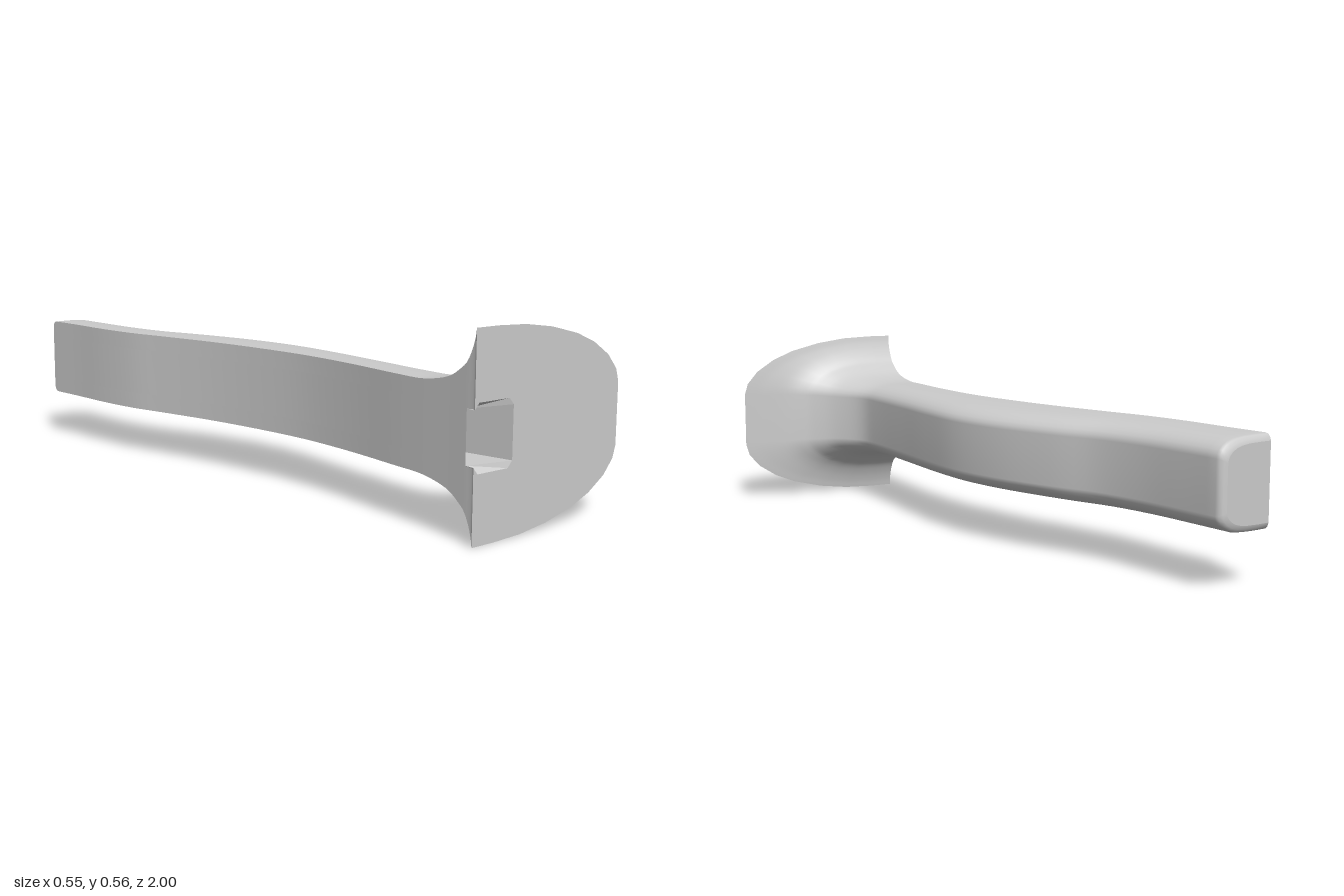
import * as THREE from 'three';

const MID = 0.279; // height of the mirror plane
const NOTCH = 0.073; // half height of the slot floor

// Half outlines (u across, v up): rounded bar and flared D-shaped plate
const BAR = [[0, 1], [0.25, 1], [0.5, 0.99], [0.68, 0.96], [0.8, 0.91], [0.89, 0.84], [0.95, 0.76], [0.985, 0.68], [1, 0.58], [1, 0]];
const PLATE = [[0, 1], [0.14, 1], [0.32, 0.985], [0.5, 0.935], [0.68, 0.845], [0.807, 0.74], [0.915, 0.6], [0.98, 0.45], [1, 0.32], [1, 0]];

// Stations along the handle: z, flat side x, rounded side x, half height, flare
const STATIONS = [
  [-0.98, -0.067, 0.108, 0.125, 0], [-0.85, -0.08, 0.093, 0.125, 0],
  [-0.7, -0.098, 0.08, 0.125, 0], [-0.55, -0.105, 0.084, 0.125, 0],
  [-0.4, -0.095, 0.113, 0.125, 0], [-0.2, -0.085, 0.135, 0.125, 0],
  [0, -0.088, 0.127, 0.125, 0], [0.2, -0.105, 0.082, 0.125, 0],
  [0.4, -0.145, 0.027, 0.125, 0], [0.6, -0.2, -0.024, 0.125, 0],
  [0.71, -0.228, -0.038, 0.127, 0], [0.8, -0.25, 0, 0.145, 0.25],
  [0.85, -0.2625, 0.05, 0.175, 0.5], [0.87, -0.2675, 0.09, 0.195, 0.65],
  [0.885, -0.271, 0.14, 0.225, 0.8], [0.895, -0.274, 0.215, 0.255, 0.95],
  [0.9, -0.277, 0.277, 0.279, 1],
];
// Small fillet at the far end
const END = [[-1, -0.065, 0.088, 0.106, 0], [-0.997, -0.065, 0.099, 0.116, 0], [-0.99, -0.066, 0.106, 0.123, 0]];

function smoothStations() {
  const a = new THREE.CatmullRomCurve3(STATIONS.map(s => new THREE.Vector3(s[0], s[1], s[2])), false, 'catmullrom');
  const b = new THREE.CatmullRomCurve3(STATIONS.map(s => new THREE.Vector3(s[3], s[4], 0)), false, 'catmullrom');
  const n = (STATIONS.length - 1) * 4;
  const out = [...END];
  for (let i = 0; i <= n; i++) {
    const p = a.getPoint(i / n), q = b.getPoint(i / n);
    out.push([p.x, p.y, p.z, q.x, q.y]);
  }
  return out;
}

// Each cross-section leans a little, more so near the plate
const lean = z => THREE.MathUtils.lerp(0.085, 0.181, (z + 1) / 1.9);

function section([z, xl, xr, h, w]) {
  const half = BAR.map(([u, v], i) => {
    const U = THREE.MathUtils.lerp(u, PLATE[i][0], w) * (xr - xl);
    return [xl + U, h * THREE.MathUtils.lerp(v, PLATE[i][1], w), z + lean(z) * U];
  });
  const lower = half.slice(0, -1).reverse().map(([x, y, d]) => [x, -y, d]);
  return [...half, ...lower].map(([x, y, d]) => new THREE.Vector3(x, y + MID, d));
}

// Surface through rows of points
function grid(rows) {
  const n = rows[0].length, index = [];
  for (let i = 0; i < rows.length - 1; i++) {
    for (let j = 0; j < n - 1; j++) {
      const a = i * n + j, b = a + 1, c = a + n, d = c + 1;
      index.push(a, c, b, b, c, d);
    }
  }
  const g = new THREE.BufferGeometry().setFromPoints(rows.flat());
  g.setIndex(index);
  g.computeVertexNormals();
  return g;
}

export function createModel() {
  const group = new THREE.Group();
  const material = new THREE.MeshStandardMaterial({ color: 0xcccccc, side: THREE.DoubleSide });
  const add = (name, geometry) => {
    const mesh = new THREE.Mesh(geometry, material);
    mesh.name = name;
    group.add(mesh);
  };

  const stations = smoothStations();
  const rings = stations.map(section);
  add('gripShell', grid(rings));

  // Flat side, with its middle strip stopping short at the slot
  const strip = (list, low, high) => grid(list.map(([z, xl, , h]) =>
    [low(h), high(h)].map(y => new THREE.Vector3(xl, y + MID, z))));
  add('flatSideTop', strip(stations, () => NOTCH, h => h));
  add('flatSideBottom', strip(stations, h => -h, () => -NOTCH));
  add('flatSideMiddle', strip(stations.filter(s => s[0] < 0.8701), () => -NOTCH, () => NOTCH));

  // Far end cap
  add('endCap', grid([rings[0].map(p => new THREE.Vector3(stations[0][1], p.y, stations[0][0])), rings[0]]));

  // Front plate with the slot opening cut from its straight edge
  const frontZ = x => 0.9 + 0.181 * (x + 0.277);
  const slotTop = [[-0.277, NOTCH], [-0.262, 0.091], [-0.153, 0.091], [-0.137, NOTCH]];
  const slot = [...slotTop.map(([x, y]) => [x, -y]), ...[...slotTop].reverse()];
  const outline = rings[rings.length - 1].map(p => new THREE.Vector2(p.x, p.y));
  slot.forEach(([x, y]) => outline.push(new THREE.Vector2(x, y + MID)));
  const plate = new THREE.ShapeGeometry(new THREE.Shape(outline));
  const pos = plate.attributes.position;
  for (let i = 0; i < pos.count; i++) pos.setZ(i, frontZ(pos.getX(i)));
  plate.computeVertexNormals();
  add('frontPlate', plate);

  // Slot: slanted floor, bevelled top and bottom, straight inner wall
  const near = s => new THREE.Vector3(-0.2675, MID + s * NOTCH, 0.87);
  const deep = s => new THREE.Vector3(-0.137, MID + s * NOTCH, 0.72);
  const rim = (i, s) => new THREE.Vector3(slotTop[i][0], MID + s * slotTop[i][1], frontZ(slotTop[i][0]));
  const tris = [
    near(-1), deep(-1), deep(1), near(-1), deep(1), near(1),
    rim(3, 1), deep(1), deep(-1), rim(3, 1), deep(-1), rim(3, -1),
  ];
  for (const s of [1, -1]) {
    const fan = [near(s), deep(s), rim(3, s), rim(2, s), rim(1, s), rim(0, s)];
    for (let i = 1; i < fan.length - 1; i++) {
      tris.push(fan[0], ...(s > 0 ? [fan[i], fan[i + 1]] : [fan[i + 1], fan[i]]));
    }
  }
  const pocket = new THREE.BufferGeometry().setFromPoints(tris);
  pocket.computeVertexNormals();
  add('slot', pocket);

  return group;
}
